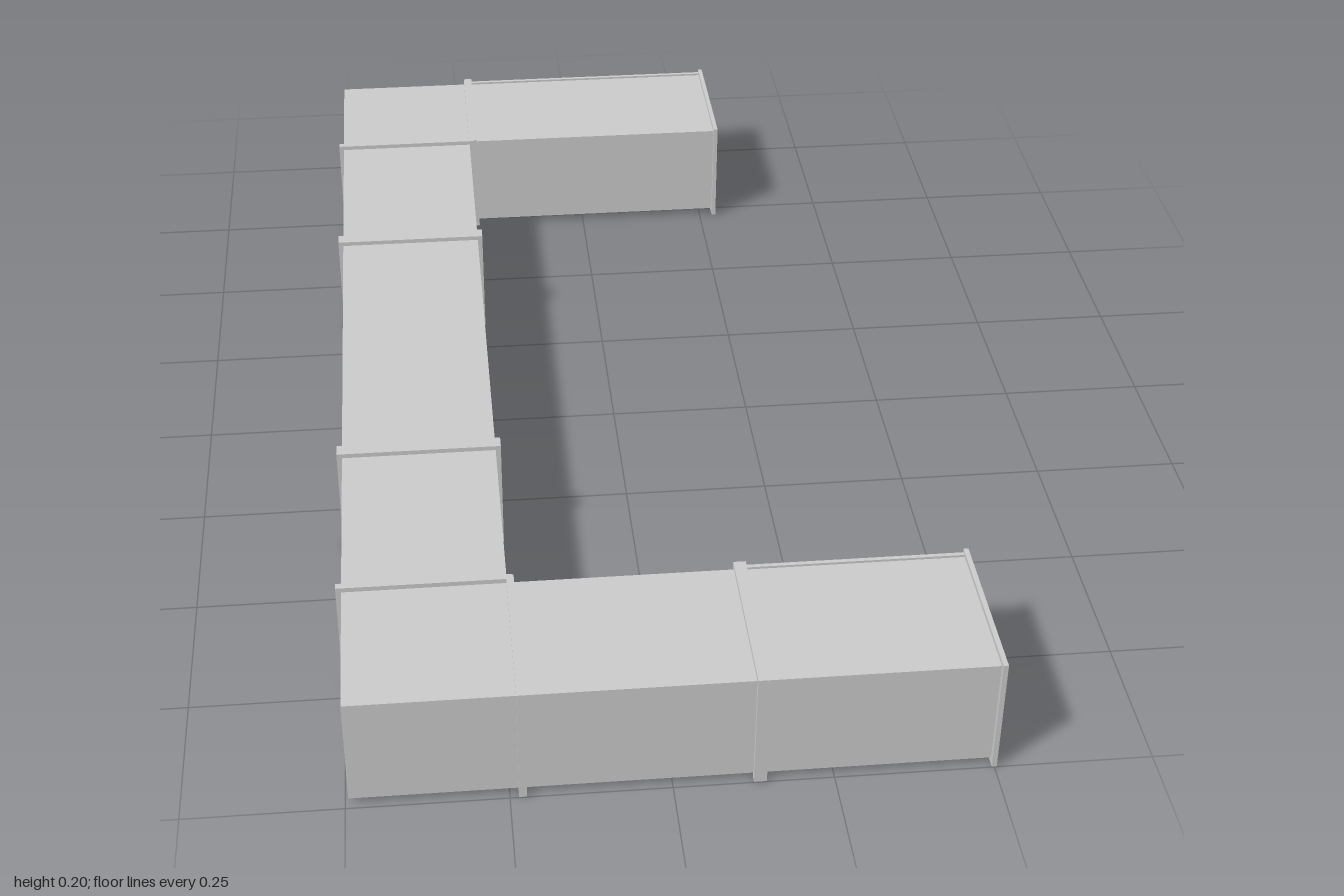
import * as THREE from 'three';

const Y0 = 0.011, Y1 = 0.197;          // duct wall bottom and top
const material = new THREE.MeshStandardMaterial({ color: 0xcccccc, side: THREE.DoubleSide, flatShading: true });

export function createModel() {
  const group = new THREE.Group();
  const add = (name, geometry, parent = group) => {
    const mesh = new THREE.Mesh(geometry, material);
    mesh.name = name;
    parent.add(mesh);
    return mesh;
  };
  const box = (name, x0, x1, y0, y1, z0, z1, parent) => {
    const mesh = add(name, new THREE.BoxGeometry(x1 - x0, y1 - y0, z1 - z0), parent);
    mesh.position.set((x0 + x1) / 2, (y0 + y1) / 2, (z0 + z1) / 2);
  };
  // Flat horizontal sheet from an (x, z) outline
  const sheet = (name, points, y) => {
    const shape = new THREE.Shape(points.map(([x, z]) => new THREE.Vector2(x, -z)));
    const mesh = add(name, new THREE.ShapeGeometry(shape).rotateX(-Math.PI / 2));
    mesh.position.y = y;
  };
  const rect = (x0, x1, z0, z1) => [[x0, z0], [x0, z1], [x1, z1], [x1, z0]];

  // C-shaped plan: the edges that start at corners 1 and 5 are the open mouths
  const plan = [
    [-0.495, 0.99], [0.5, 0.99], [0.5, 0.724], [-0.235, 0.724],
    [-0.235, -0.73], [0.28, -0.73], [0.28, -0.99], [-0.495, -0.99],
  ];
  sheet('ductTop', plan, Y1);
  plan.forEach(([x0, z0], i) => {
    if (i === 1 || i === 5) return;
    const [x1, z1] = plan[(i + 1) % plan.length];
    const wall = add('ductWall', new THREE.PlaneGeometry(Math.hypot(x1 - x0, z1 - z0), Y1 - Y0));
    wall.position.set((x0 + x1) / 2, (Y0 + Y1) / 2, (z0 + z1) / 2);
    wall.rotation.y = -Math.atan2(z1 - z0, x1 - x0);
  });

  // Only the two end sections have a floor
  sheet('frontFloor', rect(0.135, 0.5, 0.724, 0.99), Y0);
  sheet('backFloor', rect(-0.228, 0.28, -0.99, -0.73), Y0);

  // Flange around the duct: axis, position, width, cross range of the walls, closed at the bottom or not
  const flange = (axis, at, width, lo, hi, closed) => {
    const out = 0.009, into = 0.004, yTop = 0.205;
    const ring = new THREE.Group();
    ring.name = 'flange';
    group.add(ring);
    const bar = (name, a, b, y0, y1) => {
      const s = at - width / 2, e = at + width / 2;
      if (axis === 'x') box(name, s, e, y0, y1, a, b, ring);
      else box(name, a, b, y0, y1, s, e, ring);
    };
    bar('flangeSide', lo - out, lo + into, 0, yTop);
    bar('flangeSide', hi - into, hi + out, 0, yTop);
    bar('flangeTop', lo + into, hi - into, Y1 - into, yTop);
    if (closed) bar('flangeBottom', lo + into, hi - into, 0, Y0 + into);
  };
  // Front leg
  flange('x', -0.23, 0.012, 0.724, 0.99, false);
  flange('x', 0.135, 0.02, 0.724, 0.99, false);
  flange('x', 0.5, 0.008, 0.724, 0.99, true);
  // Back leg
  flange('x', -0.228, 0.016, -0.99, -0.73, false);
  flange('x', 0.28, 0.008, -0.99, -0.73, true);
  // Main run
  for (const [z, w] of [[0.719, 0.012], [0.355, 0.025], [-0.343, 0.025], [-0.723, 0.012]])
    flange('z', z, w, -0.495, -0.235, false);

  // Thin seams along the edges of the end sections
  for (const [x0, x1, z] of [[0.135, 0.5, 0.724], [-0.228, 0.28, -0.99]])
    for (const y of [Y0, Y1])
      box('edgeSeam', x0, x1, y - 0.004, y + 0.004, z - 0.005, z + 0.002);

  return group;
}
